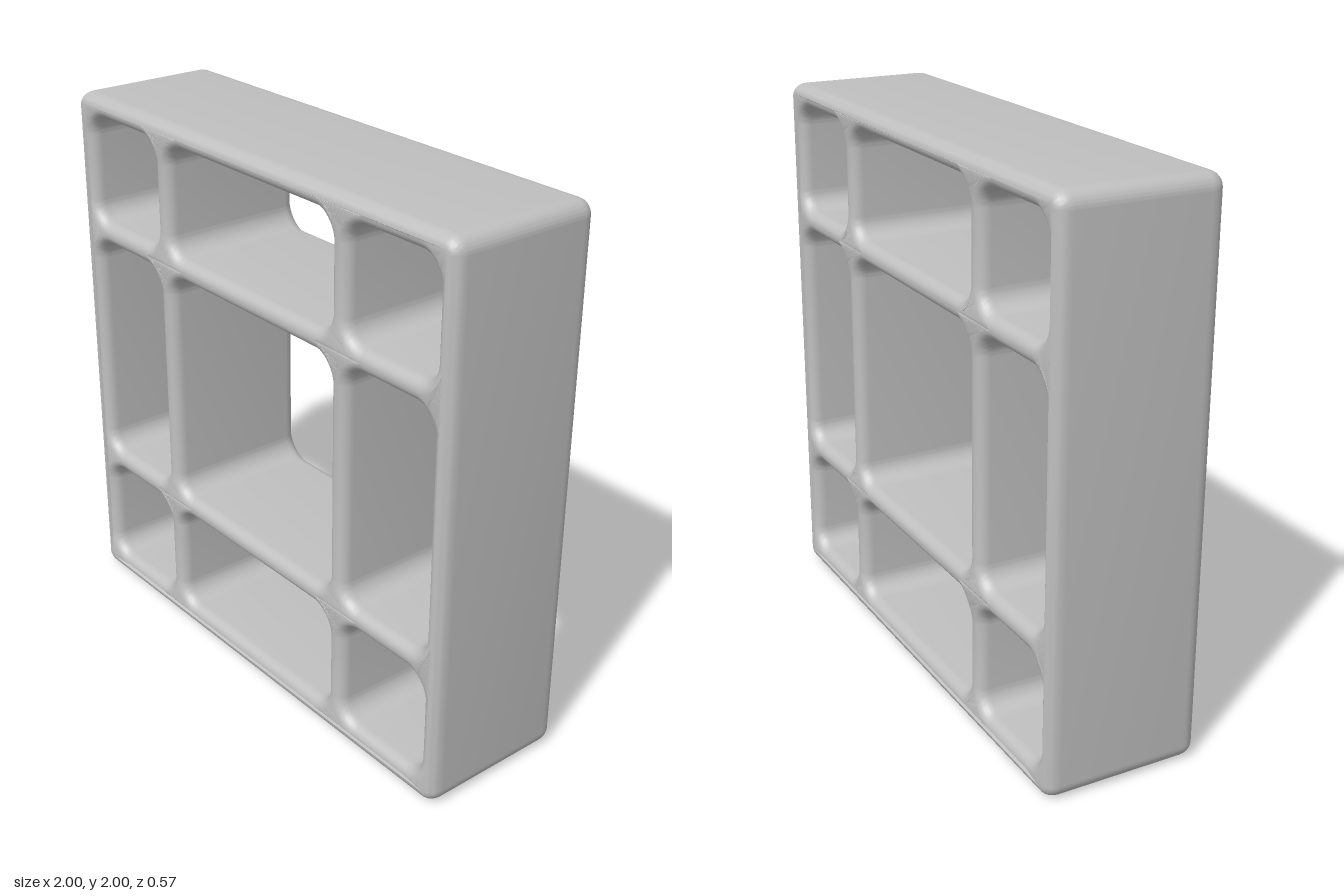
import * as THREE from 'three';
import { toCreasedNormals } from 'three/addons/utils/BufferGeometryUtils.js';

const HALF_DEPTH = 0.273;
const BEVEL = 0.037;
const LINES = [-0.96, -0.48, 0.48, 0.96]; // centre lines of the walls
const HALF_WALL = 0.04;

// Rectangle with rounded corners, drawn on a Shape or Path
function roundedRect(path, x0, y0, x1, y1, r) {
  path.moveTo(x0 + r, y0);
  path.lineTo(x1 - r, y0);
  path.absarc(x1 - r, y0 + r, r, -Math.PI / 2, 0);
  path.lineTo(x1, y1 - r);
  path.absarc(x1 - r, y1 - r, r, 0, Math.PI / 2);
  path.lineTo(x0 + r, y1);
  path.absarc(x0 + r, y1 - r, r, Math.PI / 2, Math.PI);
  path.lineTo(x0, y0 + r);
  path.absarc(x0 + r, y0 + r, r, Math.PI, Math.PI * 1.5);
  return path;
}

// Slight swelling of the front and back rims where walls meet
function swellJunctions(geometry) {
  const p = geometry.attributes.position;
  const near = (v) => Math.min(...LINES.map((l) => Math.abs(v - l)));
  for (let i = 0; i < p.count; i++) {
    const z = p.getZ(i);
    const rim = Math.max(0, (Math.abs(z) - (HALF_DEPTH - BEVEL)) / BEVEL);
    const d = Math.hypot(near(p.getX(i)), near(p.getY(i)));
    p.setZ(i, z + Math.sign(z) * 0.014 * rim * Math.exp(-((d / 0.12) ** 2)));
  }
}

export function createModel() {
  const group = new THREE.Group();
  group.name = 'cubbyShelf';
  const grey = new THREE.MeshStandardMaterial({ color: 0xbfbfbf });
  grey.name = 'lightGrey';

  // Square frame with a three by three grid of openings
  const outline = roundedRect(new THREE.Shape(), -1, -1, 1, 1, 0.055);
  for (let i = 0; i < 3; i++) {
    for (let j = 0; j < 3; j++) {
      outline.holes.push(roundedRect(new THREE.Path(),
        LINES[i] + HALF_WALL, LINES[j] + HALF_WALL,
        LINES[i + 1] - HALF_WALL, LINES[j + 1] - HALF_WALL, 0.075));
    }
  }

  // Softly rounded rims on front and back
  const depth = 2 * (HALF_DEPTH - BEVEL);
  const geometry = new THREE.ExtrudeGeometry(outline, {
    depth, curveSegments: 8, bevelEnabled: true, bevelSegments: 6,
    bevelSize: BEVEL, bevelThickness: BEVEL, bevelOffset: -BEVEL,
  });
  geometry.translate(0, 0, -depth / 2);
  swellJunctions(geometry);
  geometry.translate(0, 1, 0);

  const frame = new THREE.Mesh(toCreasedNormals(geometry, 0.6), grey);
  frame.name = 'shelfFrame';
  group.add(frame);
  return group;
}
